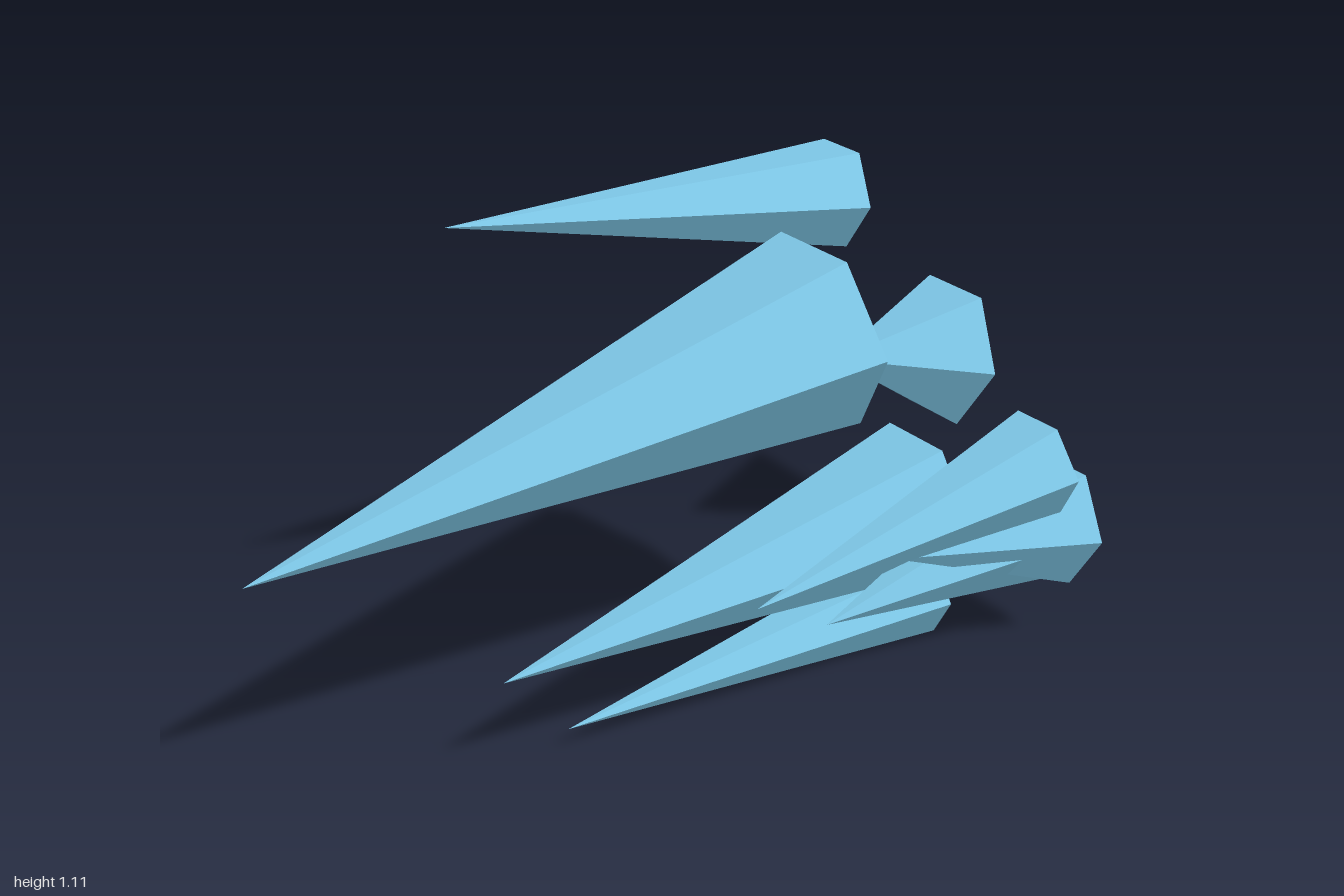
import * as THREE from 'three';

// Each spike: shared x, base radius, base centre [y, z] and tip [y, z]
const SPIKES = [
  { name: 'largeSpike', x: -0.022, r: 0.227, base: [0.805, -0.4], tip: [0.605, 1.0] },
  { name: 'topRightSpike', x: -0.322, r: 0.128, base: [0.975, -0.675], tip: [1.107, 0.36] },
  { name: 'shortSpike', x: -0.248, r: 0.187, base: [0.532, -0.973], tip: [0.591, -0.63] },
  { name: 'middleSpike', x: 0.088, r: 0.18, base: [0.375, -0.61], tip: [0.27, 0.5] },
  { name: 'upperLeftSpike', x: 0.327, r: 0.123, base: [0.52, -0.75], tip: [0.402, 0.03] },
  { name: 'bottomSpike', x: 0.041, r: 0.115, base: [0.101, -0.672], tip: [0.065, 0.317] },
  { name: 'lowerLeftSpike', x: 0.248, r: 0.157, base: [0.305, -0.891], tip: [0.345, -0.41] },
  { name: 'lowerInnerSpike', x: 0.213, r: 0.152, base: [0.302, -0.87], tip: [0.215, -0.25] },
];

// Six-sided cone with corners on the x axis, tilted so its point meets the tip
function makeSpike({ name, x, r, base, tip }, material) {
  const dy = tip[0] - base[0];
  const dz = tip[1] - base[1];
  const length = Math.hypot(dy, dz);
  const geometry = new THREE.ConeGeometry(r, length, 6, 1, false, Math.PI / 2);
  geometry.translate(0, length / 2, 0);
  const spike = new THREE.Mesh(geometry, material);
  spike.name = name;
  spike.rotation.x = Math.atan2(dz, dy);
  spike.position.set(x, base[0], base[1]);
  return spike;
}

export function createModel() {
  const ice = new THREE.MeshStandardMaterial({ color: 0x7ec8e8, flatShading: true });
  ice.name = 'iceBlue';

  const group = new THREE.Group();
  group.name = 'iceSpikes';
  for (const spec of SPIKES) group.add(makeSpike(spec, ice));
  return group;
}
